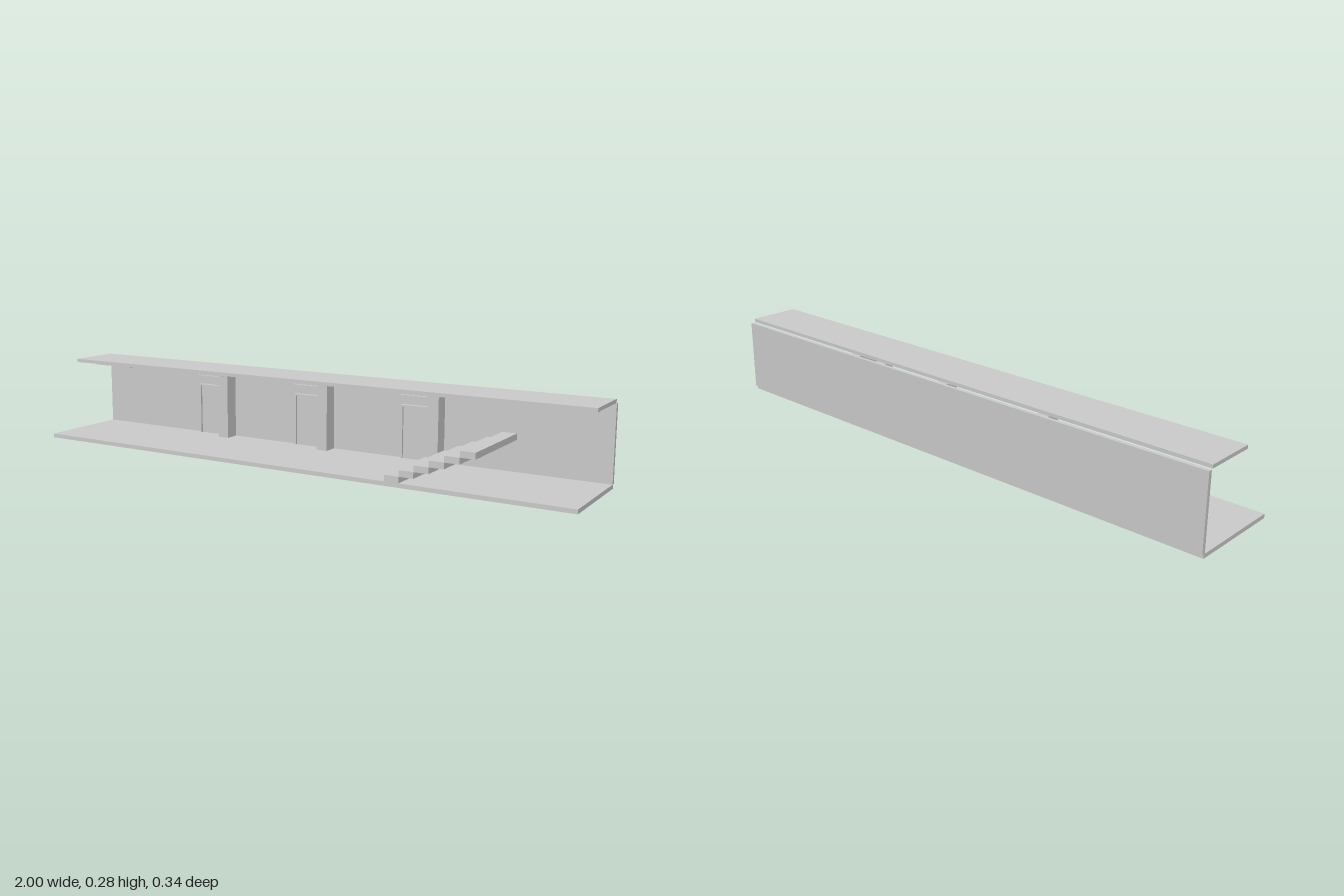
import * as THREE from 'three';

const material = new THREE.MeshStandardMaterial({ color: 0xcccccc, flatShading: true });

// Box given by its extents along each axis
function slab(parent, name, [x0, x1], [y0, y1], [z0, z1]) {
  const mesh = new THREE.Mesh(new THREE.BoxGeometry(x1 - x0, y1 - y0, z1 - z0), material);
  mesh.position.set((x0 + x1) / 2, (y0 + y1) / 2, (z0 + z1) / 2);
  mesh.name = name;
  parent.add(mesh);
}

export function createModel() {
  const model = new THREE.Group();
  model.name = 'stationPlatform';
  const floorTop = 0.014, wallFront = -0.158;

  // Main shell: floor, back wall and separate roof
  slab(model, 'floor', [-1, 1], [0, floorTop], [-0.163, 0.171]);
  slab(model, 'backWall', [-1, 1], [floorTop, 0.265], [-0.171, wallFront]);
  slab(model, 'roof', [-1, 1], [0.267, 0.279], [-0.154, 0.029]);

  // Ceiling lights
  for (let i = -2; i <= 2; i++) {
    const x = i * 0.418;
    slab(model, 'ceilingLight', [x - 0.083, x + 0.083], [0.262, 0.267], [-0.005, 0.014]);
  }

  // Three bays, each with a column, a framed door and a board above it
  for (const x of [-0.42, 0, 0.42]) {
    const bay = new THREE.Group();
    bay.name = 'bay';
    bay.position.x = x;
    model.add(bay);
    slab(bay, 'column', [-0.02, 0.02], [floorTop, 0.265], [wallFront, -0.108]);
    slab(bay, 'doorPanel', [-0.13, -0.02], [floorTop, 0.193], [wallFront, -0.15]);
    slab(bay, 'doorPost', [-0.133, -0.127], [floorTop, 0.193], [wallFront, -0.143]);
    slab(bay, 'doorLintel', [-0.136, -0.02], [0.191, 0.197], [wallFront, -0.141]);
    slab(bay, 'doorBoard', [-0.142, -0.02], [0.206, 0.23], [wallFront, -0.145]);
  }

  // Floating stair treads rising towards +x
  const stairs = new THREE.Group();
  stairs.name = 'stairs';
  model.add(stairs);
  const rise = 0.0209, run = 0.05;
  for (let i = 0; i < 6; i++) {
    const x = 0.39 + i * run, y = floorTop + i * rise;
    slab(stairs, 'stairTread', [x, x + run], [y, y + rise], [wallFront, 0.171]);
  }
  return model;
}
